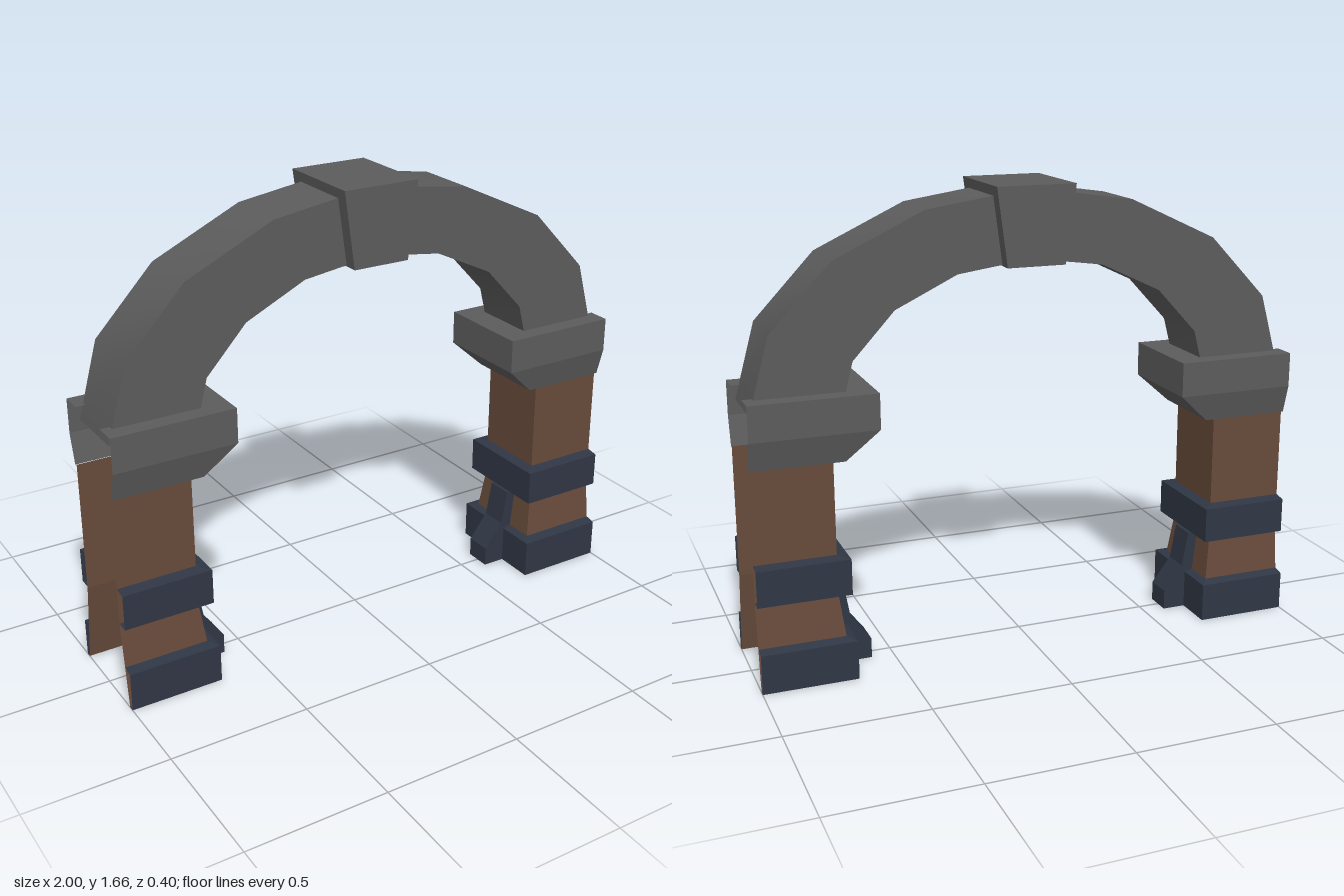
import * as THREE from 'three';
import { toCreasedNormals } from 'three/addons/utils/BufferGeometryUtils.js';

const material = (color, flatShading = true) =>
  new THREE.MeshStandardMaterial({ color, flatShading, side: THREE.DoubleSide });
const stone = material(0x5c5c5c);
const smoothStone = material(0x5c5c5c, false);
const brick = material(0x664a3a);
const trim = material(0x2f3644);

function mesh(name, geometry, mat) {
  const m = new THREE.Mesh(geometry, mat);
  m.name = name;
  return m;
}

// Three-sided shell, open towards x = 1. Profile rows run top to bottom: [inner x, half depth, y]
function openShell(profile) {
  const rings = profile.map(([x, z, y]) => [[1, y, z], [x, y, z], [x, y, -z], [1, y, -z]]);
  const pos = [];
  for (let i = 0; i < rings.length - 1; i++) {
    for (let j = 0; j < 3; j++) {
      const a = rings[i][j], b = rings[i][j + 1];
      const c = rings[i + 1][j + 1], d = rings[i + 1][j];
      pos.push(...a, ...b, ...c, ...a, ...c, ...d);
    }
  }
  // wind the faces outwards
  for (let i = 0; i < pos.length; i += 9) {
    for (let k = 0; k < 3; k++) {
      [pos[i + 3 + k], pos[i + 6 + k]] = [pos[i + 6 + k], pos[i + 3 + k]];
    }
  }
  const g = new THREE.BufferGeometry();
  g.setAttribute('position', new THREE.Float32BufferAttribute(pos, 3));
  g.computeVertexNormals();
  return g;
}

// Outline in x and y, extruded evenly about z = 0
function slab(points, depth) {
  const shape = new THREE.Shape(points.map(([x, y]) => new THREE.Vector2(x, y)));
  return new THREE.ExtrudeGeometry(shape, { depth, bevelEnabled: false }).translate(0, 0, -depth / 2);
}

function createPillar(name) {
  const pillar = new THREE.Group();
  pillar.name = name;
  // Flared shaft
  pillar.add(mesh('shaft', openShell([
    [0.715, 0.14, 0.785], [0.715, 0.14, 0.31], [0.695, 0.16, 0.15], [0.67, 0.177, 0.01],
  ]), brick));
  // Capital with a ledge and a tapered underside
  pillar.add(mesh('capital', openShell([
    [0.68, 0.1, 1.01], [0.56, 0.182, 1.01], [0.56, 0.182, 0.885], [0.675, 0.153, 0.78],
  ]), stone));
  // Bands
  pillar.add(mesh('middleBand', openShell([
    [0.715, 0.14, 0.45], [0.675, 0.183, 0.443], [0.675, 0.183, 0.315], [0.715, 0.14, 0.318],
  ]), trim));
  pillar.add(mesh('baseBand', openShell([
    [0.695, 0.16, 0.157], [0.665, 0.198, 0.148], [0.665, 0.198, 0.008], [0.67, 0.177, 0.01],
  ]), trim));
  // Inner foot brace
  pillar.add(mesh('footBrace', slab([
    [0.712, 0.305], [0.675, 0.305], [0.652, 0.175], [0.58, 0.08], [0.58, 0.008], [0.667, 0.008], [0.695, 0.15],
  ], 0.1), trim));
  return pillar;
}

export function createModel() {
  const group = new THREE.Group();
  group.name = 'archway';

  const left = createPillar('leftPillar');
  const right = createPillar('rightPillar');
  right.rotation.y = Math.PI;
  group.add(left, right);

  // Arch ring
  const outer = [[0.982, 0.955], [0.908, 1.22], [0.695, 1.445], [0.375, 1.595], [0.14, 1.63]];
  const inner = [[0.12, 1.395], [0.265, 1.375], [0.485, 1.27], [0.633, 1.11], [0.68, 0.93]];
  const mirror = (pts) => pts.map(([x, y]) => [-x, y]).reverse();
  const ring = [...outer, ...mirror(outer), ...mirror(inner), ...inner];
  group.add(mesh('arch', toCreasedNormals(slab(ring, 0.24), 0.5), smoothStone));

  // Keystone
  group.add(mesh('keystone', slab([
    [-0.105, 1.393], [0.105, 1.393], [0.142, 1.665], [-0.142, 1.665],
  ], 0.34), stone));

  return group;
}
